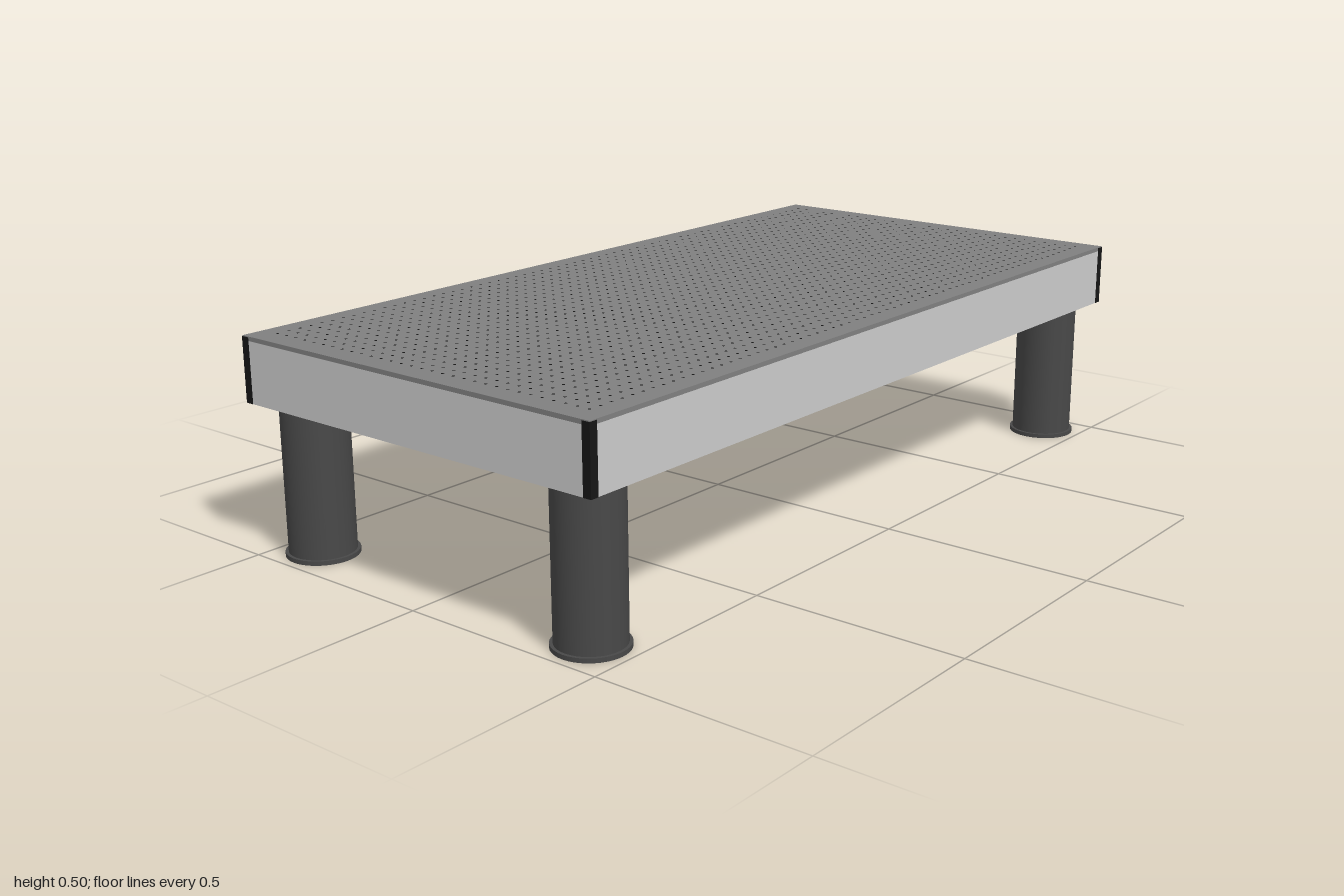
import * as THREE from 'three';
import { mergeGeometries } from 'three/addons/utils/BufferGeometryUtils.js';

const mat = (color) => new THREE.MeshStandardMaterial({ color });

export function createModel() {
  const model = new THREE.Group();
  const panelMat = mat(0xcccccc);
  const topMat = mat(0x808080);
  const legMat = mat(0x484848);
  const darkMat = mat(0x151515);
  const underMat = mat(0x383838);

  function add(name, geometry, material, x, y, z) {
    const mesh = new THREE.Mesh(geometry, material);
    mesh.name = name;
    mesh.position.set(x, y, z);
    model.add(mesh);
    return mesh;
  }

  // Deck: perforated top plate, solid core and underside
  add('topPlate', new THREE.BoxGeometry(1.998, 0.01, 0.998), topMat, 0, 0.495, 0);
  add('core', new THREE.BoxGeometry(1.98, 0.13, 0.98), underMat, 0, 0.424, 0);
  add('underside', new THREE.BoxGeometry(1.99, 0.008, 0.99), underMat, 0, 0.355, 0);

  // Apron panels on all four sides
  for (const s of [-1, 1]) {
    add('longPanel', new THREE.BoxGeometry(1.96, 0.14, 0.02), panelMat, 0, 0.42, s * 0.489);
    add('endPanel', new THREE.BoxGeometry(0.02, 0.14, 0.96), panelMat, s * 0.989, 0.42, 0);
  }

  // Corner trims and legs with flared feet
  const trim = new THREE.BoxGeometry(0.02, 0.148, 0.02);
  const leg = new THREE.CylinderGeometry(0.075, 0.075, 0.344, 40);
  const foot = new THREE.CylinderGeometry(0.082, 0.082, 0.01, 40);
  for (const sx of [-1, 1]) {
    for (const sz of [-1, 1]) {
      add('cornerTrim', trim, darkMat, sx * 0.99, 0.424, sz * 0.49);
      add('leg', leg, legMat, sx * 0.9, 0.18, sz * 0.4);
      add('foot', foot, legMat, sx * 0.9, 0.005, sz * 0.4);
    }
  }

  // Grid of small dark perforations in the top
  const dots = [];
  const disc = new THREE.CircleGeometry(0.0035, 8).rotateX(-Math.PI / 2);
  const step = 0.03;
  for (let i = 0; i < 64; i++) {
    for (let j = 0; j < 31; j++) {
      dots.push(disc.clone().translate((i - 31.5) * step, 0, (j - 15) * step));
    }
  }
  add('perforations', mergeGeometries(dots), darkMat, 0, 0.5006, 0);

  return model;
}
